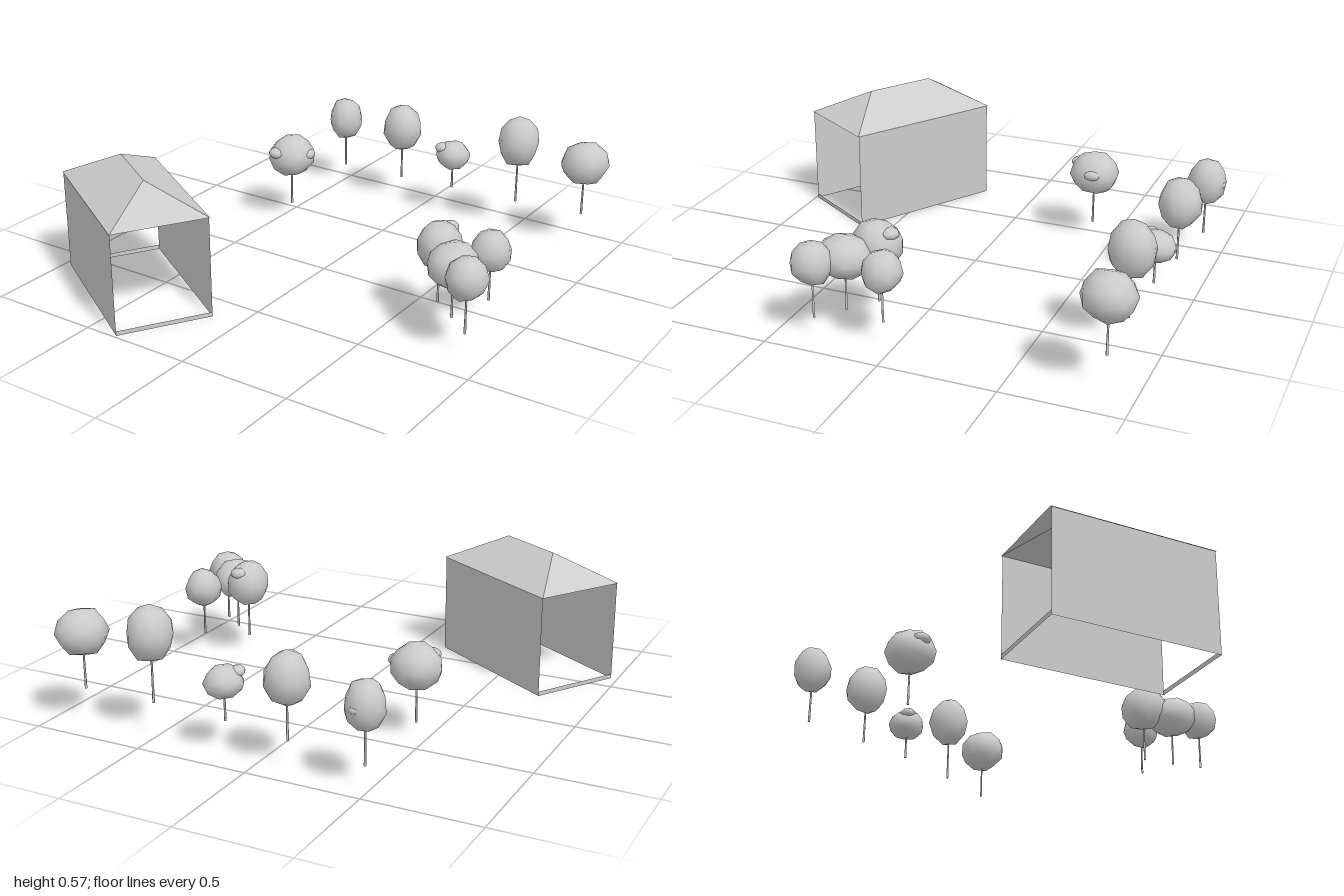
import * as THREE from 'three';
import { mergeVertices } from 'three/addons/utils/BufferGeometryUtils.js';

const grey = new THREE.MeshStandardMaterial({ color: 0xcccccc });
const flat = new THREE.MeshStandardMaterial({ color: 0xcccccc, flatShading: true, side: THREE.DoubleSide });

function addMesh(parent, name, geometry, material) {
  const mesh = new THREE.Mesh(geometry, material);
  mesh.name = name;
  parent.add(mesh);
  return mesh;
}

// Surface from polygons of 3 or 4 corners, each listed anticlockwise seen from outside
function surface(polygons) {
  const points = [];
  for (const p of polygons) {
    for (let i = 1; i < p.length - 1; i++) points.push(...p[0], ...p[i], ...p[i + 1]);
  }
  const geometry = new THREE.BufferGeometry();
  geometry.setAttribute('position', new THREE.Float32BufferAttribute(points, 3));
  geometry.computeVertexNormals();
  return geometry;
}

// Small seeded generator
function seeded(seed) {
  let s = seed * 7919 + 13;
  return () => (s = (s * 16807) % 2147483647) / 2147483647;
}

// Faceted-outline, smooth-shaded lump of leaves
function lump(seed, rx, ry, rz) {
  let geometry = new THREE.IcosahedronGeometry(1, 1);
  geometry.deleteAttribute('normal');
  geometry.deleteAttribute('uv');
  geometry = mergeVertices(geometry, 1e-4);
  const rand = seeded(seed);
  const p = geometry.attributes.position;
  const v = new THREE.Vector3();
  for (let i = 0; i < p.count; i++) {
    v.fromBufferAttribute(p, i).multiplyScalar(0.95 + 0.11 * rand());
    p.setXYZ(i, v.x, v.y, v.z);
  }
  geometry.rotateY(seed * 1.3);
  geometry.scale(rx, ry, rz);
  geometry.computeVertexNormals();
  return geometry;
}

// Open-ended shed under a hipped roof
function createBuilding() {
  const building = new THREE.Group();
  building.name = 'building';
  const eave = 0.452, ridge = 0.575, w = 0.363, d = 0.208, sill = 0.02;

  // Long walls front and back
  for (const s of [1, -1]) {
    addMesh(building, s > 0 ? 'frontWall' : 'backWall', surface([
      [[-s * w, 0, s * d], [s * w, 0, s * d], [s * w, eave, s * d], [-s * w, eave, s * d]],
    ]), flat);
    // Low sill across the open end
    addMesh(building, s > 0 ? 'leftSill' : 'rightSill', surface([
      [[s * w, 0, s * d], [s * w, 0, -s * d], [s * w, sill, -s * d], [s * w, sill, s * d]],
    ]), flat);
  }

  // Hipped roof: two slopes and two end hips
  const rw = 0.367, rd = 0.211, rr = 0.1625;
  const faces = [];
  for (const s of [1, -1]) {
    faces.push([[-s * rw, eave, s * rd], [s * rw, eave, s * rd], [s * rr, ridge, 0], [-s * rr, ridge, 0]]);
    faces.push([[s * rw, eave, s * rd], [s * rw, eave, -s * rd], [s * rr, ridge, 0]]);
  }
  addMesh(building, 'roof', surface(faces), flat);

  building.position.set(-0.552, 0, 0.62);
  building.rotation.y = -0.56;
  return building;
}

// Tree: trunk from base, crown between low and high, optional side lumps
function createTree(t, index) {
  const tree = new THREE.Group();
  tree.name = 'tree' + (index + 1);
  const [x, z] = t.at;
  const [rx, rz] = t.r;
  const middle = (t.low + t.high) / 2;
  const ry = (t.high - t.low) / 2;
  const step = t.base + (t.low - t.base) * 0.5;

  const trunk = addMesh(tree, 'lowerTrunk', new THREE.CylinderGeometry(0.0045, 0.0055, step - t.base, 6), grey);
  trunk.position.set(x, (t.base + step) / 2, z);
  const stem = addMesh(tree, 'upperTrunk', new THREE.CylinderGeometry(0.0035, 0.0045, middle - step, 6), grey);
  stem.position.set(x, (step + middle) / 2, z);

  addMesh(tree, 'crown', lump(index + 1, rx, ry, rz), grey).position.set(x, middle, z);
  (t.lumps || []).forEach(([dx, dy, dz, r], i) => {
    addMesh(tree, 'leafLump', lump(20 + index * 3 + i, r, r * 0.65, r), grey)
      .position.set(x + dx, middle + dy, z + dz);
  });
  return tree;
}

export function createModel() {
  const model = new THREE.Group();
  model.name = 'yard';
  model.add(createBuilding());

  const trees = [
    // Row along the back
    { at: [-0.48, -0.915], r: [0.082, 0.085], base: 0.095, low: 0.24, high: 0.45, lumps: [[0.01, 0, -0.06, 0.03]] },
    { at: [-0.13, -0.885], r: [0.094, 0.096], base: 0.115, low: 0.265, high: 0.49 },
    { at: [0.165, -0.865], r: [0.08, 0.085], base: 0.135, low: 0.235, high: 0.37, lumps: [[-0.04, 0.04, 0.035, 0.035]] },
    { at: [0.51, -0.86], r: [0.095, 0.1], base: 0.145, low: 0.325, high: 0.565 },
    { at: [0.838, -0.875], r: [0.107, 0.11], base: 0.155, low: 0.305, high: 0.505 },
    // Lone tree
    { at: [-0.455, -0.4], r: [0.107, 0.11], base: 0.07, low: 0.22, high: 0.415,
      lumps: [[0.075, 0.018, -0.015, 0.042], [-0.03, 0.03, 0.078, 0.04]] },
    // Clump on the left side
    { at: [0.665, 0.15], r: [0.093, 0.105], base: 0.09, low: 0.245, high: 0.455, lumps: [[0.01, 0.06, -0.06, 0.04]] },
    { at: [0.78, 0.24], r: [0.11, 0.115], base: 0.09, low: 0.235, high: 0.42 },
    { at: [0.845, 0.045], r: [0.084, 0.085], base: 0.105, low: 0.24, high: 0.42 },
    { at: [0.89, 0.33], r: [0.083, 0.09], base: 0.09, low: 0.24, high: 0.428 },
  ];
  trees.forEach((t, i) => model.add(createTree(t, i)));
  return model;
}
